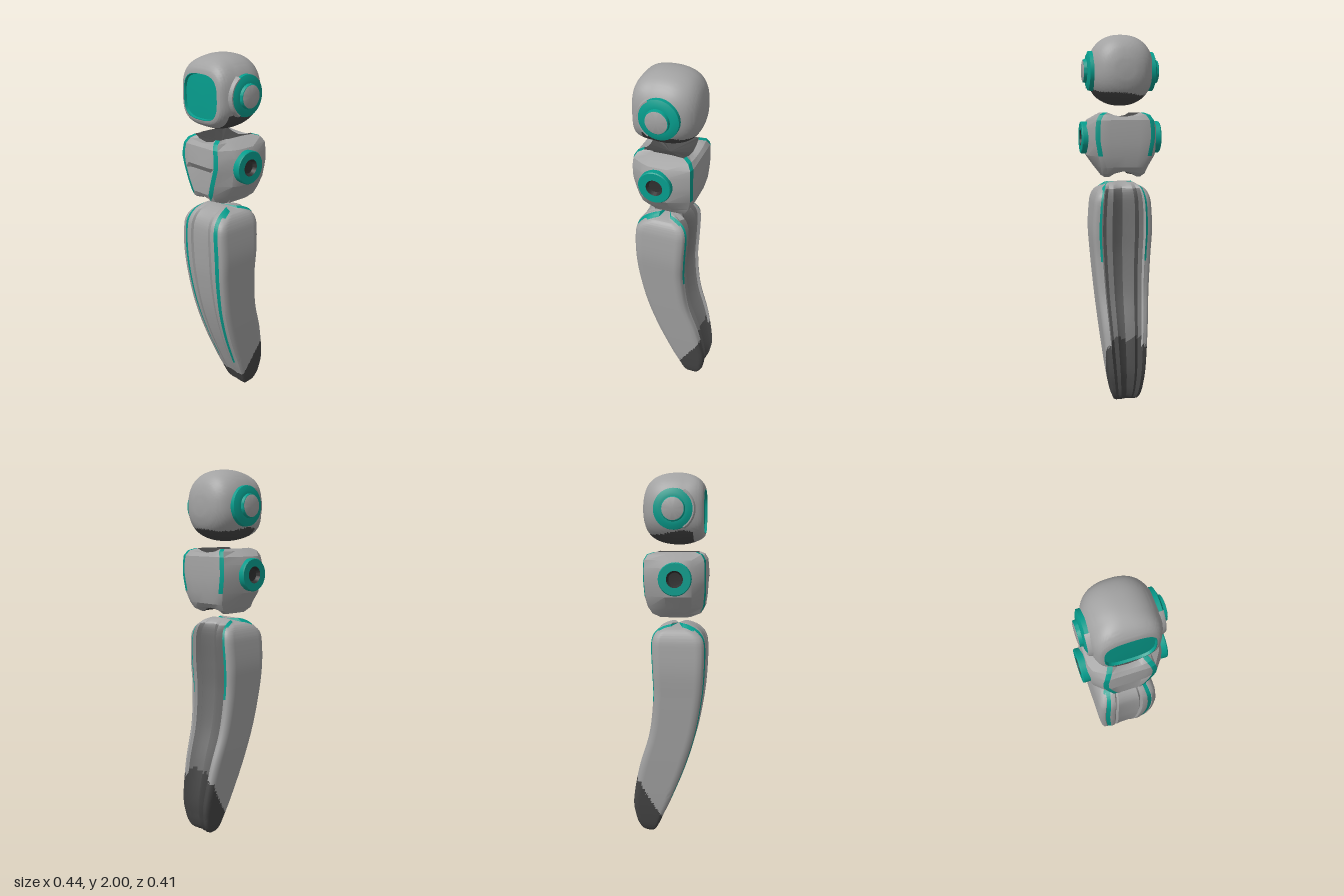
import * as THREE from 'three';
import { toCreasedNormals } from 'three/addons/utils/BufferGeometryUtils.js';

const make = (name, color) => {
  const m = new THREE.MeshStandardMaterial({ color });
  m.name = name;
  return m;
};

// Smoothly resample rows of numbers whose first entry is the station
function resample(rows, steps) {
  const out = [];
  const n = rows.length - 1;
  const cr = (a, b, c, d, t) =>
    0.5 * (2 * b + (c - a) * t + (2 * a - 5 * b + 4 * c - d) * t * t + (3 * b - a - 3 * c + d) * t * t * t);
  for (let i = 0; i < n; i++) {
    const [a, b, c, d] = [rows[Math.max(i - 1, 0)], rows[i], rows[i + 1], rows[Math.min(i + 2, n)]];
    for (let s = 0; s < steps; s++) out.push(b.map((_, k) => cr(a[k], b[k], c[k], d[k], s / steps)));
  }
  out.push(rows[n]);
  return out;
}

// Mirror a half section (front centre to back centre) into a closed ring
const mirrorRing = (half) => [...half, ...half.slice(1, -1).reverse().map(([x, y, z]) => [-x, y, z])];

// Skin closed rings; paint(column, centre, row) picks a material for each triangle
function loft(name, rings, start, end, crease, paint) {
  const buckets = new Map();
  const all = [];
  const mats = [];
  const n = rings[0].length;
  const last = rings.length - 1;
  const tri = (a, b, c, col, row) => {
    const mid = [0, 1, 2].map((k) => (a[k] + b[k] + c[k]) / 3);
    all.push(...a, ...b, ...c);
    mats.push(paint(col, mid, row));
  };
  for (let j = 0; j < n; j++) {
    const k = (j + 1) % n;
    tri(rings[0][k], rings[0][j], start, j, -1);
    for (let i = 0; i < last; i++) {
      tri(rings[i][j], rings[i][k], rings[i + 1][k], j, i);
      tri(rings[i][j], rings[i + 1][k], rings[i + 1][j], j, i);
    }
    tri(rings[last][j], rings[last][k], end, j, last);
  }
  let geo = new THREE.BufferGeometry();
  geo.setAttribute('position', new THREE.Float32BufferAttribute(all, 3));
  geo = toCreasedNormals(geo, crease);
  // Split by material, keeping the shared normals
  const P = geo.attributes.position.array;
  const N = geo.attributes.normal.array;
  mats.forEach((m, t) => {
    if (!buckets.has(m)) buckets.set(m, { p: [], n: [] });
    const b = buckets.get(m);
    for (let q = t * 9; q < t * 9 + 9; q++) {
      b.p.push(P[q]);
      b.n.push(N[q]);
    }
  });
  const group = new THREE.Group();
  group.name = name;
  for (const [m, b] of buckets) {
    const g = new THREE.BufferGeometry();
    g.setAttribute('position', new THREE.Float32BufferAttribute(b.p, 3));
    g.setAttribute('normal', new THREE.Float32BufferAttribute(b.n, 3));
    const mesh = new THREE.Mesh(g, m);
    mesh.name = `${name} ${m.name}`;
    group.add(mesh);
  }
  return group;
}

// Turned disc facing sideways; profile points are [radius, distance from the centre plane],
// arc is half the sweep, centred on the front
function sideDisc(name, profile, material, side, y, z, arc = Math.PI) {
  const pts = profile.map(([r, h]) => new THREE.Vector2(r, h));
  const geo = toCreasedNormals(new THREE.LatheGeometry(pts, 40, -arc, arc * 2), 0.5);
  const mesh = new THREE.Mesh(geo, material);
  mesh.name = name;
  mesh.rotation.z = -side * Math.PI / 2;
  mesh.position.set(0, y, z);
  return mesh;
}

export function createModel() {
  const grey = make('grey shell', 0xa2a2a2);
  const mid = make('channel grey', 0x707070);
  const dark = make('dark grey', 0x464646);
  const black = make('socket black', 0x303030);
  const teal = make('teal trim', 0x069d8d);
  const model = new THREE.Group();
  model.name = 'floating robot';

  // Head: rounded-square rings from back to front [z, half width, half height, centre y]
  const headRows = resample([
    [-0.143, 0.03, 0.03, 1.81], [-0.138, 0.068, 0.068, 1.812], [-0.12, 0.112, 0.118, 1.814],
    [-0.085, 0.147, 0.156, 1.815], [-0.03, 0.169, 0.179, 1.815], [0.04, 0.175, 0.187, 1.814],
    [0.1, 0.171, 0.181, 1.813], [0.15, 0.158, 0.162, 1.81], [0.178, 0.141, 0.138, 1.804],
    [0.187, 0.122, 0.114, 1.8]], 5);
  const shellEnd = headRows.length - 1;
  headRows.push([0.187, 0.119, 0.111, 1.8], [0.174, 0.116, 0.108, 1.8]);
  const headRings = headRows.map(([z, rx, ry, cy]) => {
    const ring = [];
    const e = 2 / (2.3 + 0.8 * THREE.MathUtils.smoothstep(z, 0.08, 0.187));
    for (let i = 0; i < 96; i++) {
      const a = (i / 96) * Math.PI * 2;
      const c = Math.cos(a), s = Math.sin(a);
      ring.push([Math.sign(c) * Math.abs(c) ** e * rx, cy + Math.sign(s) * Math.abs(s) ** e * ry, z]);
    }
    return ring;
  });
  model.add(loft('head', headRings, [0, 1.81, -0.145], [0, 1.8, 0.178], 0.7, (col, [x, y, z], row) => {
    if (row >= shellEnd) return teal;
    return y < 1.7 + 0.08 * x + 0.012 * Math.sin(z * 20) && z < 0.13 ? dark : grey;
  }));

  // Torso sections: y, front z, panel front z, front panel half width, side half width,
  // back z, back panel half width, lift of the centre
  const torsoRows = [
    [1.245, 0.12, 0.12, 0.06, 0.1, -0.05, 0.075, 0.03],
    [1.265, 0.172, 0.172, 0.056, 0.115, -0.09, 0.09, 0.014],
    [1.3, 0.19, 0.188, 0.058, 0.143, -0.112, 0.1, 0],
    [1.36, 0.197, 0.188, 0.078, 0.186, -0.127, 0.12, 0],
    [1.425, 0.2, 0.184, 0.1, 0.195, -0.131, 0.132, 0],
    [1.455, 0.2, 0.207, 0.109, 0.196, -0.132, 0.136, 0],
    [1.51, 0.2, 0.202, 0.111, 0.195, -0.132, 0.135, 0],
    [1.55, 0.197, 0.197, 0.102, 0.18, -0.13, 0.13, 0],
    [1.578, 0.18, 0.18, 0.088, 0.13, -0.114, 0.113, -0.01],
    [1.59, 0.15, 0.15, 0.073, 0.102, -0.08, 0.088, -0.024]];
  const torsoRings = torsoRows.map(([y, zf, zp, pf, ws, zb, pb, lift]) => {
    const backEdge = Math.min(pb + 0.024, ws + 0.008);
    return mirrorRing([
      [0, y + lift, zp], [pf * 0.7, y + lift * 0.6, zp], [pf, y, zf], [pf + 0.025, y, zf - 0.007],
      [ws * 0.92, y, zf * 0.55 + 0.02], [ws, y, 0.09], [ws, y, -0.01],
      [backEdge, y, zb + 0.009], [pb, y, zb + 0.001], [pb * 0.6, y + lift * 0.6, zb], [0, y + lift, zb]]);
  });
  const frontTrim = [2, 17];
  const backTrim = [7, 12];
  model.add(loft('torso', torsoRings, [0, 1.285, 0.04], [0, 1.545, 0.04], 0.4, (col, [, y], row) => {
    if (row < 0 || row === torsoRings.length - 1) return dark;
    return (frontTrim.includes(col) && y > 1.28) || (backTrim.includes(col) && y > 1.36) ? teal : grey;
  }));

  // Ears and shoulder sockets, mirrored
  for (const side of [1, -1]) {
    const tag = side > 0 ? 'left' : 'right';
    model.add(
      sideDisc(`${tag} ear rim`, [[0.118, 0.13], [0.112, 0.172], [0.107, 0.18], [0.1, 0.18]],
        grey, side, 1.81, 0.033, 1.05),
      sideDisc(`${tag} ear ring`, [[0.106, 0.13], [0.104, 0.176], [0.08, 0.186], [0.063, 0.187], [0.06, 0.203],
        [0.057, 0.204]], teal, side, 1.81, 0.033),
      sideDisc(`${tag} ear cap`, [[0.057, 0.204], [0.052, 0.206], [0, 0.206]], grey, side, 1.81, 0.033),
      sideDisc(`${tag} shoulder ring`, [[0.085, 0.14], [0.087, 0.213], [0.083, 0.218], [0.044, 0.218]],
        teal, side, 1.455, 0.045),
      sideDisc(`${tag} shoulder socket`, [[0.044, 0.218], [0.034, 0.198], [0, 0.196]], black, side, 1.455, 0.045));
  }

  // Lower body stations: y, half width, front z, back z
  const bodyRows = resample([
    [0.005, 0.058, -0.09, -0.13], [0.02, 0.07, -0.074, -0.155], [0.05, 0.081, -0.058, -0.176],
    [0.1, 0.091, -0.036, -0.192], [0.2, 0.105, 0.01, -0.201], [0.4, 0.125, 0.09, -0.165],
    [0.6, 0.142, 0.15, -0.106], [0.8, 0.157, 0.186, -0.083], [0.95, 0.166, 0.199, -0.087],
    [1.08, 0.159, 0.201, -0.093], [1.14, 0.15, 0.188, -0.087], [1.18, 0.138, 0.155, -0.065],
    [1.203, 0.122, 0.11, -0.025], [1.211, 0.105, 0.075, 0.01]], 10);
  // Half cross-section: share of half width, share of depth from front to back, tag of the strip that follows
  const flank = Array.from({ length: 19 }, (_, i) => [1, 0.15 + (i / 18) * 0.71]);
  const section = [
    [0, 0.03], [0.2, 0.03], [0.36, 0.015], [0.42, 0.06], [0.48, 0.01], [0.62, 0], [0.655, 0.008, 'groove'],
    [0.795, 0.03, 'lip'], [0.82, 0.022, 'lip'], [0.91, 0.04], [0.97, 0.08], ...flank, [0.95, 0.94],
    [0.87, 0.975, 'lip'], [0.81, 0.98, 'backTrim'], [0.74, 1], [0.68, 0.945, 'channel'], [0.55, 0.87, 'channel'],
    [0.46, 0.93, 'channel'], [0.38, 0.97, 'channel'], [0.24, 0.89, 'channel'], [0, 0.82]];
  const bodyRings = bodyRows.map(([y, w, zf, zb]) => {
    // The front grooves draw together towards the foot; the pods round off lower than the core
    const pinch = 1 - 0.15 * (1 - THREE.MathUtils.smoothstep(y, 0.15, 0.85));
    const drop = 0.022 * THREE.MathUtils.smoothstep(y, 1.1, 1.211);
    return mirrorRing(section.map(([u, v]) => [
      u * w * (v < 0.1 && u > 0.45 && u < 0.85 ? pinch : 1),
      y - drop * THREE.MathUtils.smoothstep(u, 0.6, 1),
      zf + (zb - zf) * v]));
  });
  const half = section.length - 1;
  model.add(loft('lower body', bodyRings, [0, 0.003, -0.11], [0, 1.205, 0.045], 0.6, (col, [, y, z]) => {
    const tag = section[col < half ? col : 2 * half - 1 - col][2];
    const sole = 0.1 + (-0.04 - z) * 1.69;
    if (y < sole + (tag === 'channel' ? 0.08 : 0)) return dark;
    if (tag === 'groove' && y > 0.2) return teal;
    if (tag === 'backTrim' && y > 0.78) return teal;
    if (tag === 'lip' && y > 1.175) return teal;
    return tag === 'channel' && y < 1.18 ? mid : grey;
  }));

  return model;
}
